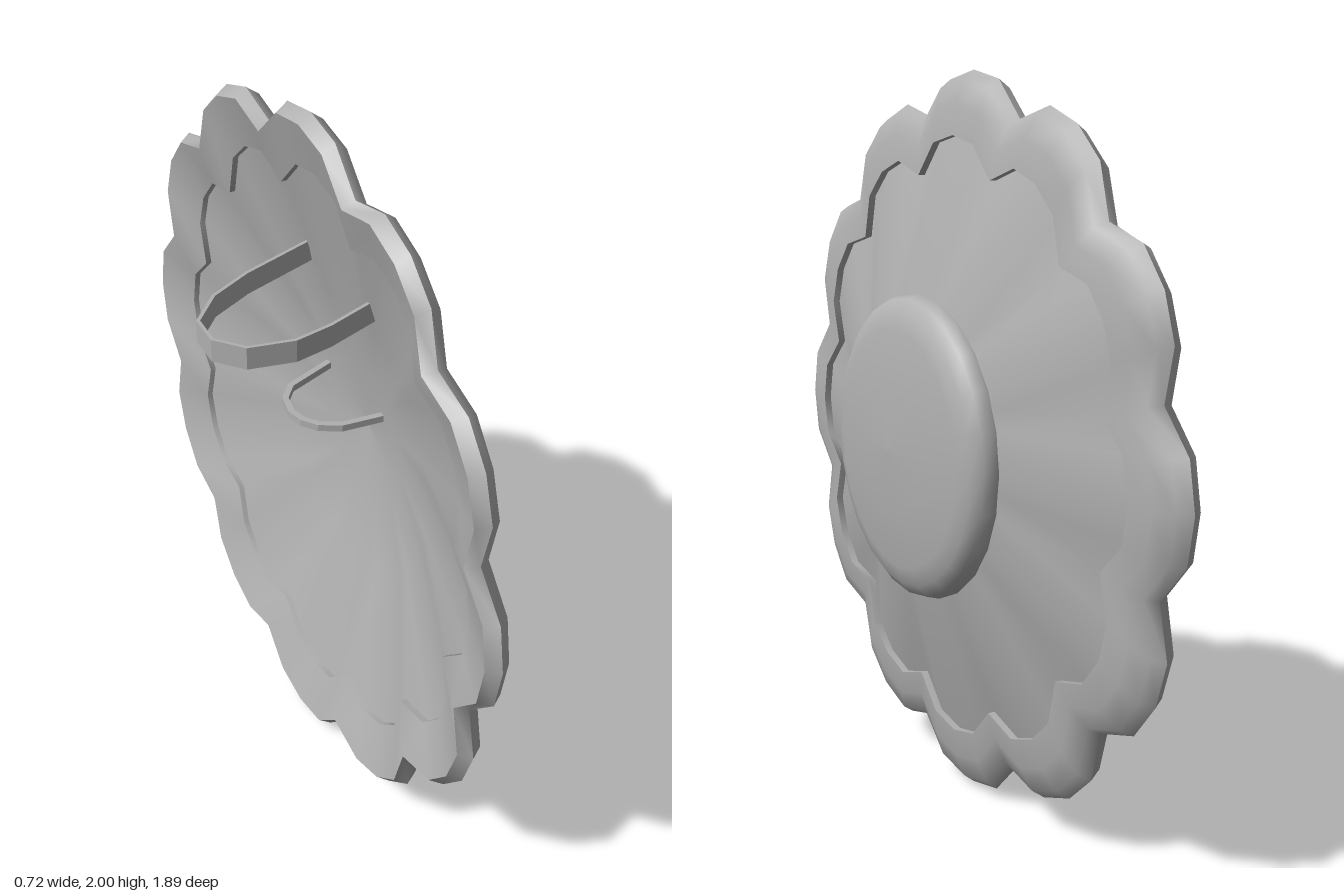
import * as THREE from 'three';

const STEPS = 48; // twelve lobes, four steps each
const grey = new THREE.MeshStandardMaterial({ color: 0xb0b0b0 });
grey.name = 'plain grey';

// Closed ring of points with scalloped radius, at height d along the shield normal
function ring(tip, notch, d) {
  const fraction = [1, 0.83, 0, 0.83];
  return Array.from({ length: STEPS }, (_, i) => {
    const a = (i / STEPS) * Math.PI * 2;
    const r = notch + (tip - notch) * fraction[i % 4];
    return [r * Math.cos(a), r * Math.sin(a), d];
  });
}

// Smooth skin through a list of rings
function loft(rings) {
  const index = [];
  for (let k = 0; k < rings.length - 1; k++) {
    for (let i = 0; i < STEPS; i++) {
      const j = (i + 1) % STEPS;
      const a = k * STEPS + i, b = k * STEPS + j;
      index.push(a, b, b + STEPS, a, b + STEPS, a + STEPS);
    }
  }
  const g = new THREE.BufferGeometry();
  g.setAttribute('position', new THREE.Float32BufferAttribute(rings.flat(2), 3));
  g.setIndex(index);
  g.computeVertexNormals();
  return g;
}

function add(parent, name, geometry) {
  const mesh = new THREE.Mesh(geometry, grey);
  mesh.name = name;
  parent.add(mesh);
  return mesh;
}

// Thin band following a path of [x, z] points, standing upright
function band(path, thickness, height) {
  const inner = path.map(([x, z], i) => {
    const p = path[Math.max(i - 1, 0)], q = path[Math.min(i + 1, path.length - 1)];
    const tx = q[0] - p[0], tz = q[1] - p[1], l = Math.hypot(tx, tz);
    return [x + (tz / l) * thickness, z - (tx / l) * thickness];
  });
  const outline = [...path, ...inner.reverse()].map(([x, z]) => new THREE.Vector2(x, z));
  const g = new THREE.ExtrudeGeometry(new THREE.Shape(outline), { depth: height, bevelEnabled: false });
  return g.rotateX(Math.PI / 2).translate(0, height / 2, 0);
}

export function createModel() {
  const model = new THREE.Group();
  model.name = 'shield';

  // Shield body, built facing +z and then turned to the side
  const body = new THREE.Group();
  body.name = 'shieldBody';
  body.position.y = 1;
  body.rotation.y = THREE.MathUtils.degToRad(70.5);
  model.add(body);

  // Scalloped rim: each strip is smooth, with a crease where strips meet
  const ridge = ring(1, 0.905, 0);
  const frontEdge = ring(0.975, 0.885, 0.033);
  const frontMid = ring(0.91, 0.82, 0.056);
  const frontInner = ring(0.83, 0.744, 0.066);
  const backInner = ring(0.83, 0.744, 0.01);
  const backEdge = ring(0.975, 0.885, -0.035);
  const rim = new THREE.Group();
  rim.name = 'rim';
  body.add(rim);
  add(rim, 'rimFront', loft([ridge, frontEdge, frontMid, frontInner]));
  add(rim, 'rimInnerWall', loft([frontInner, backInner]));
  add(rim, 'rimBack', loft([backInner, backEdge]));
  add(rim, 'rimOuterWall', loft([backEdge, ridge]));

  // Fluted plate, running from the scalloped edge to a round centre
  add(body, 'plateFront', loft([
    ring(0.832, 0.746, 0.045), ring(0.41, 0.41, 0.165), ring(0.001, 0.001, 0.21),
  ]));
  add(body, 'plateBack', loft([
    ring(0.001, 0.001, 0.185), ring(0.2, 0.2, 0.167), ring(0.41, 0.41, 0.13), ring(0.832, 0.746, 0.026),
  ]));

  // Domed boss
  const profile = [[0.405, 0.15], [0.415, 0.17], [0.405, 0.205], [0.375, 0.228], [0.325, 0.244],
    [0.17, 0.262], [0, 0.268]].map(([r, d]) => new THREE.Vector2(r, d));
  add(body, 'boss', new THREE.LatheGeometry(profile, 24).rotateX(Math.PI / 2));

  // Arm strap and hand grip on the back
  const strap = band([[0.18, -0.17], [-0.07, -0.17], [-0.21, -0.15], [-0.32, -0.09], [-0.355, 0],
    [-0.32, 0.09], [-0.21, 0.155], [-0.1, 0.17], [0.06, 0.17]], 0.01, 0.063);
  add(model, 'armStrap', strap).position.y = 1.482;
  const grip = band([[0.24, -0.15], [0.06, -0.145], [0, -0.11], [-0.035, -0.05], [-0.04, 0],
    [-0.025, 0.05], [0.02, 0.1], [0.13, 0.15]], 0.018, 0.02);
  add(model, 'handGrip', grip).position.y = 1.095;

  return model;
}
